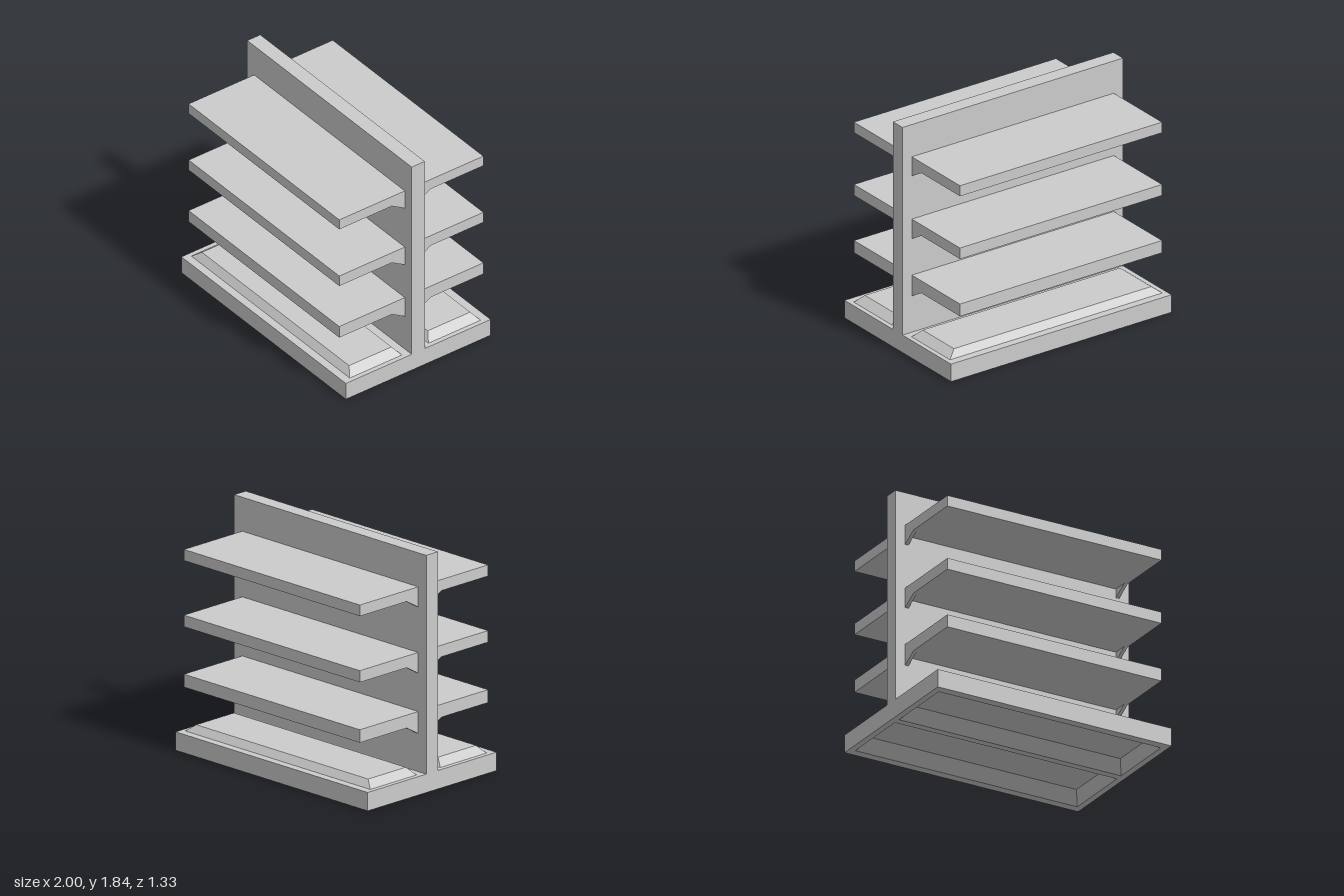
import * as THREE from 'three';

const material = new THREE.MeshStandardMaterial({ color: 0xcccccc, flatShading: true });
const innerMaterial = new THREE.MeshStandardMaterial({ color: 0xcccccc, flatShading: true, side: THREE.BackSide });

const DEPTH = 0.667, SHELF_Z = 0.664, BASE_H = 0.143, PANEL = 0.06, SHELF_X = 0.916, BRACKET_T = 0.028;
const DECK = { x: 0.963, z0: 0.122, z1: 0.603 };
const HOLLOW = { x: 0.95, z0: 0.03, z1: 0.597 };

function add(parent, name, geometry, mat = material) {
  const mesh = new THREE.Mesh(geometry, mat);
  mesh.name = name;
  parent.add(mesh);
  return mesh;
}

// Box given by its limits
function block(x0, x1, y0, y1, z0, z1) {
  return new THREE.BoxGeometry(x1 - x0, y1 - y0, z1 - z0)
    .translate((x0 + x1) / 2, (y0 + y1) / 2, (z0 + z1) / 2);
}

// Drops box faces, numbered +x, -x, +y, -y, +z, -z from 0
function without(geometry, ...faces) {
  const index = Array.from(geometry.index.array);
  geometry.setIndex(index.filter((_, i) => !faces.includes(Math.floor(i / 6))));
  return geometry;
}

// Open-bottomed box from y0 to y0 + h over an area, with its top inset by ix and iz
function taperedBox(area, y0, h, ix, iz) {
  const g = block(-area.x, area.x, y0, y0 + h, area.z0, area.z1);
  const middle = (area.z0 + area.z1) / 2;
  const p = g.attributes.position;
  for (let i = 0; i < p.count; i++) {
    if (p.getY(i) < y0 + h / 2) continue;
    p.setX(i, p.getX(i) - Math.sign(p.getX(i)) * ix);
    p.setZ(i, p.getZ(i) - Math.sign(p.getZ(i) - middle) * iz);
  }
  g.computeVertexNormals();
  return without(g, 3);
}

function rectangle(PathType, x0, x1, y0, y1) {
  return new PathType([[x0, y0], [x1, y0], [x1, y1], [x0, y1]].map(([x, y]) => new THREE.Vector2(x, y)));
}

// Flat downward-facing sheet from z0 to DEPTH with an opening
function sheet(z0, opening) {
  const shape = rectangle(THREE.Shape, -1, 1, z0, DEPTH);
  shape.holes.push(rectangle(THREE.Path, -opening.x, opening.x, opening.z0, opening.z1));
  return new THREE.ShapeGeometry(shape).rotateX(Math.PI / 2);
}

// Triangular bracket, profile in z and y, thickness along x
function bracketGeometry() {
  const shape = new THREE.Shape([[0, 0], [0.12, 0], [0, -0.07]].map(([z, y]) => new THREE.Vector2(z, y)));
  return new THREE.ExtrudeGeometry(shape, { depth: BRACKET_T, bevelEnabled: false })
    .rotateY(-Math.PI / 2).translate(BRACKET_T / 2, 0, 0);
}

// Everything on one face of the centre panel
function createSide(name) {
  const side = new THREE.Group();
  side.name = name;

  // Plinth top with its raised deck, and underside with its hollow
  add(side, 'plinthTop', sheet(PANEL, DECK), innerMaterial).position.y = BASE_H;
  add(side, 'raisedDeck', taperedBox(DECK, BASE_H, 0.054, 0.068, 0.045));
  add(side, 'plinthRim', sheet(0, HOLLOW));
  add(side, 'plinthHollow', taperedBox(HOLLOW, 0, 0.09, 0.06, 0.09), innerMaterial);

  // Shelves with a bracket flush with each end
  for (const [bottom, top] of [[0.508, 0.608], [0.975, 1.065], [1.487, 1.573]]) {
    add(side, 'shelf', without(block(-SHELF_X, SHELF_X, bottom, top, PANEL, SHELF_Z), 5));
    for (const s of [-1, 1]) {
      add(side, 'shelfBracket', bracketGeometry()).position.set(s * (SHELF_X - BRACKET_T / 2), bottom, PANEL);
    }
  }
  return side;
}

export function createModel() {
  const model = new THREE.Group();
  model.name = 'doubleSidedShelfUnit';
  add(model, 'plinthSides', without(block(-1, 1, 0, BASE_H, -DEPTH, DEPTH), 2, 3));
  add(model, 'centrePanel', without(block(-1, 1, BASE_H, 1.836, -PANEL, PANEL), 3));

  const front = createSide('frontShelves');
  const back = createSide('backShelves');
  back.rotation.y = Math.PI;
  model.add(front, back);
  return model;
}
